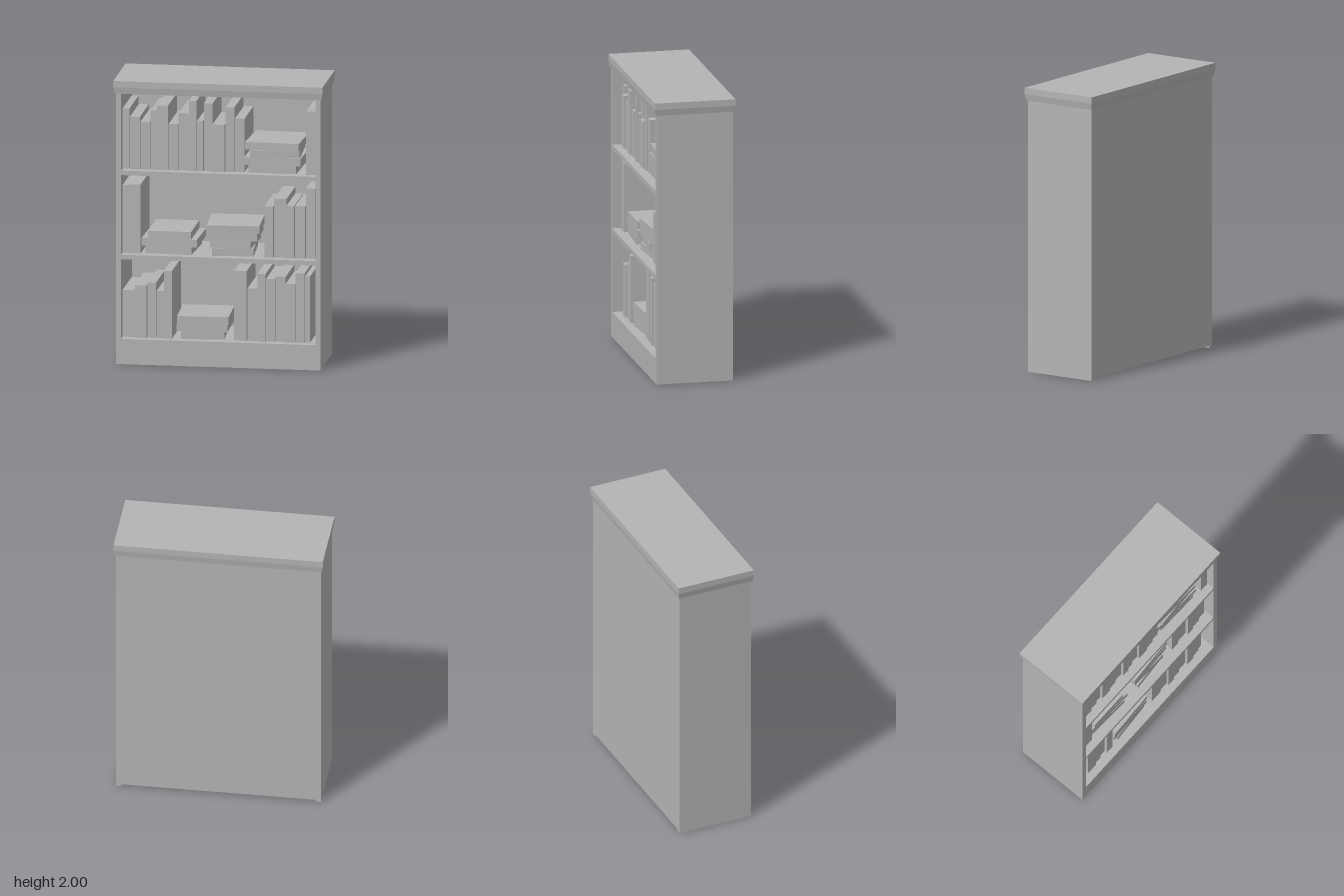
import * as THREE from 'three';

const grey = new THREE.MeshStandardMaterial({ color: 0xb4b4b4 });

// Box given by its min and max corners
function block(parent, name, x0, x1, y0, y1, z0, z1) {
  const mesh = new THREE.Mesh(new THREE.BoxGeometry(x1 - x0, y1 - y0, z1 - z0), grey);
  mesh.position.set((x0 + x1) / 2, (y0 + y1) / 2, (z0 + z1) / 2);
  mesh.name = name;
  parent.add(mesh);
  return mesh;
}

// Standing books per shelf: left edge, thickness, height
const standing = [
  [[-0.677, 0.086, 0.33], [-0.589, 0.082, 0.37], [-0.504, 0.061, 0.39], [-0.44, 0.05, 0.33],
    [-0.387, 0.056, 0.477], [0.101, 0.088, 0.493], [0.194, 0.069, 0.37], [0.265, 0.056, 0.477],
    [0.324, 0.061, 0.443], [0.387, 0.072, 0.459], [0.462, 0.064, 0.414], [0.528, 0.064, 0.488],
    [0.594, 0.035, 0.467]],
  [[-0.677, 0.048, 0.477], [-0.626, 0.077, 0.488], [0.313, 0.061, 0.361], [0.377, 0.088, 0.414],
    [0.467, 0.053, 0.369], [0.525, 0.072, 0.369], [0.6, 0.064, 0.493]],
  [[-0.677, 0.048, 0.424], [-0.623, 0.069, 0.371], [-0.552, 0.066, 0.334], [-0.483, 0.045, 0.414],
    [-0.435, 0.077, 0.456], [-0.355, 0.066, 0.326], [-0.286, 0.071, 0.403], [-0.212, 0.053, 0.496],
    [-0.156, 0.042, 0.355], [-0.111, 0.061, 0.477], [-0.048, 0.085, 0.334], [0.042, 0.061, 0.456],
    [0.106, 0.066, 0.377], [0.605, 0.066, 0.448]],
];

// Lying stacks per shelf, bottom book first: centre x, width, sideways swing
const lying = [
  [[[-0.13, 0.3, 0.024], [-0.129, 0.353, 0.01], [-0.126, 0.358, 0.016]]],
  [[[-0.349, 0.324, -0.018], [-0.348, 0.387, -0.008], [-0.349, 0.3, 0]],
    [[0.078, 0.29, 0.026], [0.081, 0.284, -0.016], [0.082, 0.342, 0.013], [0.082, 0.366, 0.021]]],
  [[[0.373, 0.332, -0.011], [0.371, 0.395, -0.008], [0.374, 0.345, 0.021], [0.373, 0.376, -0.019]]],
];

export function createModel() {
  const model = new THREE.Group();
  model.name = 'bookcase';
  const W = 0.713, IN = 0.677, D = 0.27, TOP = 1.91;
  const shelfTops = [0.178, 0.772, 1.366];

  // Carcass: sides, back, hollow plinth and shelves
  for (const s of [-1, 1]) {
    block(model, s > 0 ? 'leftSide' : 'rightSide', Math.min(s * W, s * IN), Math.max(s * W, s * IN), 0, TOP, -D, D);
  }
  block(model, 'backPanel', -IN, IN, 0.015, TOP, -D, -0.245);
  block(model, 'plinthFront', -IN, IN, 0, 0.12, 0.24, D);
  shelfTops.forEach((top, i) => {
    block(model, 'shelf', -IN, IN, i ? top - 0.032 : 0.12, top, -0.245, D);
  });

  // Crown: straight upper band over a band that tapers inwards to the carcass
  block(model, 'crownTop', -0.729, 0.729, 1.955, 2, -0.285, 0.285);
  const taper = block(model, 'crownTaper', -0.729, 0.729, TOP, 1.955, -0.285, 0.285);
  const p = taper.geometry.attributes.position;
  for (let i = 0; i < p.count; i++) {
    if (p.getY(i) < 0) {
      p.setX(i, Math.sign(p.getX(i)) * 0.72);
      p.setZ(i, Math.sign(p.getZ(i)) * 0.278);
    }
  }
  taper.geometry.computeVertexNormals();

  // Books
  shelfTops.forEach((y, row) => {
    const books = new THREE.Group();
    books.name = 'shelfBooks';
    model.add(books);
    standing[row].forEach(([x, w, h], i) => {
      const front = 0.205 + 0.01 * ((i * 2) % 3 - 1);
      block(books, 'standingBook', x, x + w, y, y + h, front - 0.415, front);
    });
    for (const stack of lying[row]) {
      stack.forEach(([cx, w, swing], i) => {
        const book = block(books, 'lyingBook', cx - w / 2, cx + w / 2,
          y + i * 0.0535, y + (i + 1) * 0.0535, -0.18, 0.2);
        book.rotation.y = Math.asin(swing / 0.38);
      });
    }
  });
  return model;
}
